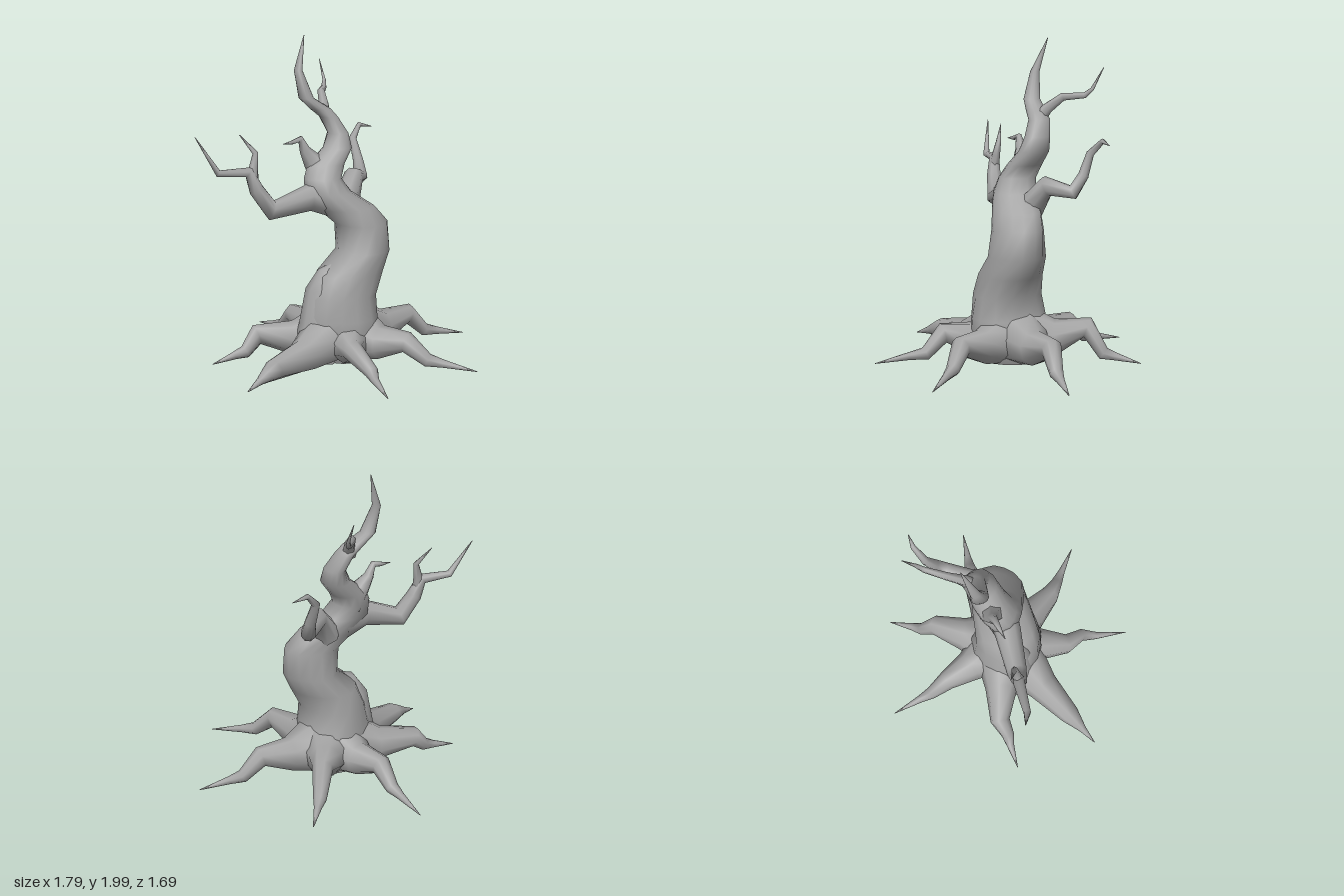
import * as THREE from 'three';

const bark = new THREE.MeshStandardMaterial({ color: 0xa3a3a3 });
bark.name = 'grey bark';

const V = (x, y, z) => new THREE.Vector3(x, y, z);

// Smooth skin over a list of rings, each an array of Vector3 with equal length
function skin(name, rings) {
  const n = rings[0].length, pos = [], idx = [];
  for (const ring of rings) for (const p of ring) pos.push(p.x, Math.max(p.y, 0.008), p.z);
  for (let i = 0; i < rings.length - 1; i++) {
    for (let j = 0; j < n; j++) {
      const a = i * n + j, b = i * n + (j + 1) % n;
      idx.push(a, b, b + n, a, b + n, a + n);
    }
  }
  const g = new THREE.BufferGeometry();
  g.setAttribute('position', new THREE.Float32BufferAttribute(pos, 3));
  g.setIndex(idx);
  g.computeVertexNormals();
  const mesh = new THREE.Mesh(g, bark);
  mesh.name = name;
  return mesh;
}

// Crooked limb along points; its radius is a thin taper plus a flare that fades from the base
function limb(name, pts, thin, flare, fade = 4, sides = 8) {
  const last = pts.length - 1;
  const normal = V(0.31, 0.2, 0.93);
  return skin(name, pts.map((p, i) => {
    const dirIn = p.clone().sub(pts[Math.max(i - 1, 0)]).normalize();
    const dirOut = pts[Math.min(i + 1, last)].clone().sub(p).normalize();
    const t = dirIn.add(dirOut).normalize();
    normal.addScaledVector(t, -normal.dot(t)).normalize();
    const side = t.clone().cross(normal);
    const s = 1 - i / last;
    const r = thin * s ** 0.7 + flare * s ** fade + 0.002;
    return Array.from({ length: sides }, (_, j) => {
      const a = j / sides * Math.PI * 2;
      return p.clone().addScaledVector(normal, r * Math.cos(a)).addScaledVector(side, r * Math.sin(a));
    });
  }));
}

// Winding trunk: levels are [y, centre x, half width, centre z]
function trunk() {
  const levels = [
    [0.01, -0.02, 0, 0], [0.01, -0.02, 0.2, 0], [0.01, -0.02, 0.2, 0], [0.15, -0.03, 0.27, 0.01],
    [0.28, -0.045, 0.23, 0.02], [0.42, -0.04, 0.21, 0.025], [0.55, 0.02, 0.21, 0.02],
    [0.68, 0.125, 0.165, 0.015], [0.85, 0.12, 0.17, 0.01], [0.95, 0.03, 0.185, -0.015],
    [1.05, -0.08, 0.15, -0.045], [1.14, -0.11, 0.115, -0.075], [1.22, -0.07, 0.115, -0.105],
    [1.31, 0.02, 0.09, -0.13], [1.4, 0.035, 0.06, -0.15], [1.5, -0.01, 0.055, -0.185],
    [1.55, -0.065, 0.065, -0.19], [1.62, -0.155, 0.045, -0.2], [1.79, -0.19, 0.025, -0.235],
    [2, -0.12, 0.002, -0.29],
  ];
  const sides = 14;
  return skin('trunk', levels.map(([y, x, w, z]) => {
    const depth = w === 0 ? 0 : 0.27 * (1 - y / 2) * Math.min(1, 0.7 + 2 * y) + 0.002;
    return Array.from({ length: sides }, (_, j) => {
      const a = j / sides * Math.PI * 2;
      const ridge = 1 + 0.05 * Math.cos(3 * (a - 2.2 * y));
      return V(x + w * ridge * Math.sin(a), y, z + depth * ridge * Math.cos(a));
    });
  }));
}

// Root that leaves the base, arches over its peak, kinks at the knee and runs out to its tip
function root(name, px, height, pz, tx, tz, kink) {
  const peak = V(px, height, pz), tip = V(tx, 0.015, tz);
  const across = V(tz - pz, 0, px - tx).normalize();
  const along = (f, y, shift) => peak.clone().lerp(tip, f).setY(y).addScaledVector(across, shift);
  return limb(name, [
    V(px * 0.22, 0.16, pz * 0.22), V(px * 0.6, height * 0.5 + 0.05, pz * 0.6), peak,
    along(0.3, 0.065, kink), along(0.52, 0.05, kink / 2), tip,
  ], 0.07, 0.11);
}

export function createModel() {
  const tree = new THREE.Group();
  tree.name = 'bareTree';
  tree.add(trunk());

  // Swollen ridge winding up the right side of the trunk
  tree.add(limb('trunkRidge', [
    V(-0.22, 0.02, 0.02), V(-0.19, 0.24, 0.02), V(-0.18, 0.45, 0.02),
    V(-0.14, 0.55, 0.02), V(0.04, 0.66, 0.02),
  ], 0.15, 0));

  // Roots: peak x, height, peak z, tip x, tip z, kink
  [
    [0.5, 0.185, -0.04, 0.89, 0.03, 0],
    [0.2, 0.17, 0.42, 0.52, 0.715, 0],
    [-0.17, 0.17, 0.4, -0.19, 0.84, 0.06],
    [-0.62, 0.085, 0.25, -0.84, 0.345, 0],
    [-0.51, 0.155, -0.21, -0.82, -0.2, 0.02],
    [-0.13, 0.17, -0.45, -0.18, -0.85, 0],
    [0.25, 0.225, -0.4, 0.45, -0.67, 0],
  ].forEach((r, i) => tree.add(root('root' + (i + 1), ...r)));

  // Bare branches
  tree.add(limb('rightBranch', [
    V(-0.05, 1, -0.05), V(-0.22, 1.03, -0.05), V(-0.46, 0.97, -0.08), V(-0.55, 1.1, -0.1),
    V(-0.59, 1.21, -0.12), V(-0.78, 1.215, -0.14), V(-0.9, 1.435, -0.2),
  ], 0.07, 0.04));
  tree.add(limb('rightFork', [
    V(-0.57, 1.16, -0.11), V(-0.56, 1.23, -0.12), V(-0.54, 1.32, -0.13), V(-0.62, 1.43, -0.18),
  ], 0.035, 0, 1, 6));
  tree.add(limb('smallBranch', [
    V(-0.09, 1.14, -0.1), V(-0.16, 1.25, -0.13), V(-0.2, 1.31, -0.14),
    V(-0.23, 1.38, -0.14), V(-0.29, 1.365, -0.13), V(-0.36, 1.36, -0.12),
  ], 0.035, 0.06, 4, 6));
  tree.add(limb('leftBranch', [
    V(0.06, 0.96, -0.09), V(0.16, 1.11, -0.16), V(0.28, 1.08, -0.28), V(0.295, 1.18, -0.34),
    V(0.285, 1.31, -0.39), V(0.36, 1.39, -0.435), V(0.455, 1.37, -0.435),
  ], 0.05, 0.035));
  tree.add(limb('upperBranch', [
    V(-0.04, 1.5, -0.19), V(-0.01, 1.57, -0.24), V(0.02, 1.64, -0.33),
    V(0.1, 1.65, -0.44), V(0.125, 1.69, -0.48), V(0.13, 1.82, -0.555),
  ], 0.03, 0.015, 4, 6));
  return tree;
}
